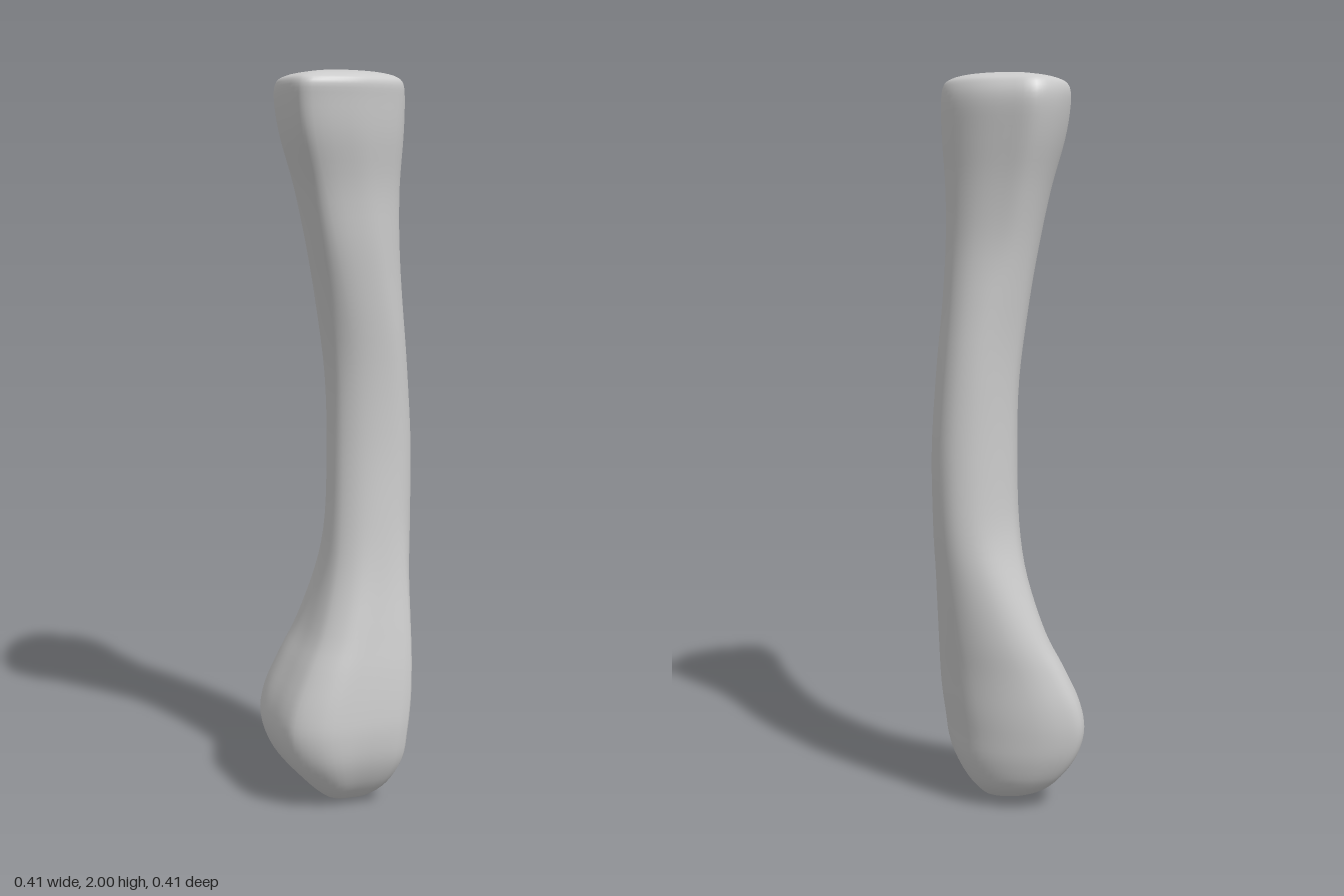
import * as THREE from 'three';

// Cross-sections as [x, z], counterclockwise seen from above, starting at +x
const HEAD = [[.17, .02], [.16, -.06], [.11, -.13], [.03, -.18], [-.04, -.205], [-.1, -.17], [-.15, -.09],
  [-.18, .02], [-.185, .1], [-.17, .18], [-.14, .2], [-.04, .2], [.03, .18], [.13, .12]];
const SHAFT = [[.2, -.01], [.19, -.07], [.16, -.105], [.11, -.12], [.05, -.11], [0, -.08], [-.02, -.05],
  [-.03, -.01], [-.025, .03], [-.01, .055], [.03, .08], [.09, .09], [.15, .08], [.19, .04]];
const KNOB = [[.15, .02], [.12, -.07], [.05, -.13], [-.05, -.17], [-.13, -.175], [-.18, -.16], [-.205, -.08],
  [-.2, 0], [-.19, .07], [-.17, .12], [-.1, .165], [0, .17], [.14, .165], [.155, .1]];

// Extents along the bone: y, xMin, xMax, zMin, zMax
const LEVELS = [
  [0, -.005, .015, .03, .045], [.015, -.06, .06, -.03, .08], [.065, -.12, .105, -.11, .13],
  [.14, -.18, .14, -.15, .165], [.22, -.207, .152, -.167, .175], [.3, -.195, .163, -.17, .17],
  [.4, -.15, .172, -.162, .157], [.5, -.1, .18, -.155, .14], [.65, -.055, .19, -.14, .115],
  [.8, -.036, .2, -.125, .1], [1, -.03, .203, -.12, .09], [1.2, -.036, .19, -.12, .095],
  [1.4, -.065, .17, -.122, .115], [1.55, -.095, .16, -.13, .135], [1.7, -.13, .16, -.155, .155],
  [1.83, -.17, .168, -.187, .187], [1.92, -.185, .17, -.203, .2], [1.965, -.183, .163, -.193, .203],
  [1.982, -.16, .145, -.17, .18], [1.992, -.11, .11, -.12, .13], [1.998, -.05, .06, -.06, .07], [2, -.005, .01, -.01, .01],
];
const AROUND = 56;
const ALONG = 84;

// Smooth ring of the blended section, fitted to the extents at its height
function ring(y, x0, x1, z0, z1) {
  const head = THREE.MathUtils.smoothstep(y, 1.25, 1.88);
  const knob = 1 - THREE.MathUtils.smoothstep(y, .3, .85);
  const mix = (i, k) => SHAFT[i][k] * (1 - head - knob) + HEAD[i][k] * head + KNOB[i][k] * knob;
  const curve = new THREE.CatmullRomCurve3(
    SHAFT.map((_, i) => new THREE.Vector3(mix(i, 0), 0, mix(i, 1))), true);
  const points = Array.from({ length: AROUND }, (_, j) => curve.getPoint(j / AROUND));
  const box = new THREE.Box3().setFromPoints(points);
  return points.map((p) => [
    THREE.MathUtils.mapLinear(p.x, box.min.x, box.max.x, x0, x1),
    y,
    THREE.MathUtils.mapLinear(p.z, box.min.z, box.max.z, z0, z1),
  ]);
}

function boneGeometry() {
  const path = (a, b) => new THREE.CatmullRomCurve3(
    LEVELS.map((l) => new THREE.Vector3(l[a], l[0], l[b])), false, 'catmullrom', .5);
  const xs = path(1, 2);
  const zs = path(3, 4);
  const positions = [];
  const index = [];
  for (let i = 0; i <= ALONG; i++) {
    const px = xs.getPoint(i / ALONG);
    const pz = zs.getPoint(i / ALONG);
    ring(px.y, px.x, px.z, pz.x, pz.z).forEach((p) => positions.push(...p));
  }
  for (let i = 0; i < ALONG; i++) {
    for (let j = 0; j < AROUND; j++) {
      const k = (j + 1) % AROUND;
      const a = i * AROUND + j, b = i * AROUND + k;
      index.push(a, b, b + AROUND, a, b + AROUND, a + AROUND);
    }
  }
  // Close the tiny first and last rings
  const last = ALONG * AROUND;
  for (let j = 1; j < AROUND - 1; j++) {
    index.push(0, j + 1, j, last, last + j, last + j + 1);
  }
  const geometry = new THREE.BufferGeometry();
  geometry.setAttribute('position', new THREE.Float32BufferAttribute(positions, 3));
  geometry.setIndex(index);
  geometry.computeVertexNormals();
  return geometry;
}

export function createModel() {
  const group = new THREE.Group();
  const bone = new THREE.Mesh(boneGeometry(), new THREE.MeshStandardMaterial({ color: 0xcccccc }));
  bone.name = 'bone';
  group.add(bone);
  return group;
}
